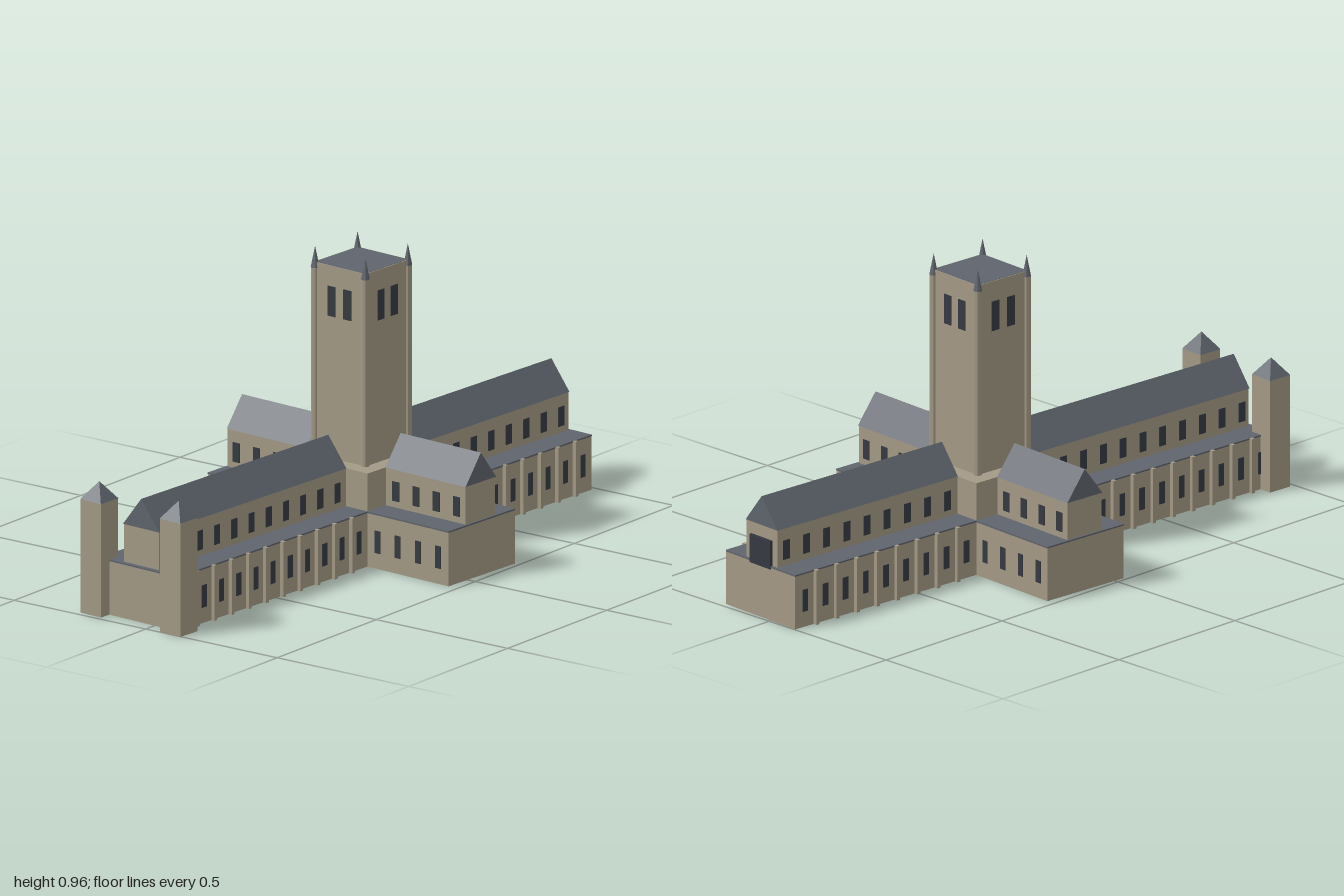
import * as THREE from 'three';

const stone = new THREE.MeshStandardMaterial({ color: 0xa39985, flatShading: true });
const slate = new THREE.MeshStandardMaterial({ color: 0x5f656d, flatShading: true });
const glass = new THREE.MeshStandardMaterial({ color: 0x353a41, flatShading: true });

const CROSS = 0.156; // half width of crossing and aisles
const NAVE = 0.07;   // half width of the upper storey
const AISLE_H = 0.174, EAVE = 0.295, RIDGE = 0.388;

function add(parent, name, geometry, material, x = 0, y = 0, z = 0) {
  const mesh = new THREE.Mesh(geometry, material);
  mesh.name = name;
  mesh.position.set(x, y, z);
  parent.add(mesh);
  return mesh;
}

// Box given by its minimum and maximum corners
function block(parent, name, material, [x0, y0, z0], [x1, y1, z1]) {
  const geometry = new THREE.BoxGeometry(x1 - x0, y1 - y0, z1 - z0);
  return add(parent, name, geometry, material, (x0 + x1) / 2, (y0 + y1) / 2, (z0 + z1) / 2);
}

// Gabled prism with its ridge along x
function gableRoof(parent, x0, x1) {
  const shape = new THREE.Shape();
  shape.moveTo(-NAVE - 0.002, EAVE);
  shape.lineTo(NAVE + 0.002, EAVE);
  shape.lineTo(0, RIDGE);
  const geometry = new THREE.ExtrudeGeometry(shape, { depth: x1 - x0, bevelEnabled: false });
  geometry.rotateY(Math.PI / 2);
  add(parent, 'gableRoof', geometry, slate, x0);
}

// One arm of the cross, running out along +x from the crossing
function wing(name, { end, upperEnd, bays, buttresses = false, endWindow = false }) {
  const group = new THREE.Group();
  group.name = name;
  block(group, 'aisleWalls', stone, [CROSS, 0, -CROSS], [end, 0.17, CROSS]);
  block(group, 'aisleRoof', slate, [CROSS, 0.17, -CROSS - 0.001], [end + 0.001, AISLE_H + 0.001, CROSS + 0.001]);
  block(group, 'upperWalls', stone, [CROSS, AISLE_H, -NAVE], [upperEnd, EAVE, NAVE]);
  gableRoof(group, CROSS, upperEnd + 0.002);

  const bay = (end - CROSS) / bays;
  for (const side of [-1, 1]) {
    for (let i = 0; i < bays; i++) {
      const x = CROSS + bay * (i + 0.5);
      add(group, 'aisleWindow', new THREE.BoxGeometry(0.022, 0.071, 0.004), glass, x, 0.085, side * CROSS);
      add(group, 'upperWindow', new THREE.BoxGeometry(0.027, 0.062, 0.004), glass, x, 0.226, side * NAVE);
      if (buttresses && i > 0) {
        add(group, 'buttress', new THREE.BoxGeometry(0.012, 0.175, 0.014), stone,
          CROSS + bay * i, 0.0875, side * (CROSS + 0.006));
      }
    }
  }
  if (endWindow) {
    block(group, 'endWindow', glass, [upperEnd - 0.01, 0.165, -0.047], [end + 0.003, 0.256, 0.047]);
  }
  return group;
}

// Tall central tower with corner shafts, pinnacles and paired openings
function centralTower() {
  const group = new THREE.Group();
  group.name = 'centralTower';
  const half = 0.103, top = 0.905;
  block(group, 'towerWalls', stone, [-half, EAVE, -half], [half, top, half]);
  block(group, 'towerRoof', slate, [-0.1, top - 0.002, -0.1], [0.1, top + 0.001, 0.1]);
  for (const sx of [-1, 1]) {
    for (const sz of [-1, 1]) {
      const x = sx * 0.1, z = sz * 0.1;
      add(group, 'cornerShaft', new THREE.CylinderGeometry(0.0125, 0.0125, 0.89 - EAVE, 8), stone,
        x, (0.89 + EAVE) / 2, z);
      add(group, 'pinnacle', new THREE.ConeGeometry(0.0135, 0.068, 8), slate, x, 0.922, z);
    }
  }
  for (let i = 0; i < 4; i++) {
    const face = new THREE.Group();
    face.name = 'belfryOpenings';
    face.rotation.y = i * Math.PI / 2;
    for (const s of [-1, 1]) {
      add(face, 'belfryWindow', new THREE.BoxGeometry(0.031, 0.095, 0.004), glass, s * 0.0315, 0.793, half);
    }
    group.add(face);
  }
  return group;
}

// Square corner turret with a pyramid cap
function turret(z) {
  const group = new THREE.Group();
  group.name = 'westTurret';
  group.position.set(-1.047, 0, z);
  add(group, 'turretWalls', new THREE.BoxGeometry(0.081, 0.36, 0.081), stone, 0, 0.18, 0);
  const cap = new THREE.ConeGeometry(0.0585, 0.056, 4);
  cap.rotateY(Math.PI / 4);
  add(group, 'turretRoof', cap, slate, 0, 0.388, 0);
  return group;
}

export function createModel() {
  const model = new THREE.Group();
  model.name = 'cathedral';

  // The whole building sits slightly turned about the crossing
  const building = new THREE.Group();
  building.name = 'building';
  building.position.set(0.093, 0, -0.003);
  building.rotation.y = -0.056;
  model.add(building);

  block(building, 'crossing', stone, [-CROSS, 0, -CROSS], [CROSS, EAVE, CROSS]);
  building.add(centralTower());

  const choir = wing('choir', { end: 0.898, upperEnd: 0.892, bays: 9, buttresses: true, endWindow: true });
  const nave = wing('nave', { end: 1.047, upperEnd: 1.035, bays: 11, buttresses: true });
  nave.rotation.y = Math.PI;
  building.add(choir, nave);

  for (const side of [-1, 1]) {
    const transept = wing('transept', { end: 0.478, upperEnd: 0.473, bays: 4 });
    transept.rotation.y = side * Math.PI / 2;
    building.add(transept, turret(side * 0.158));
  }
  return model;
}
